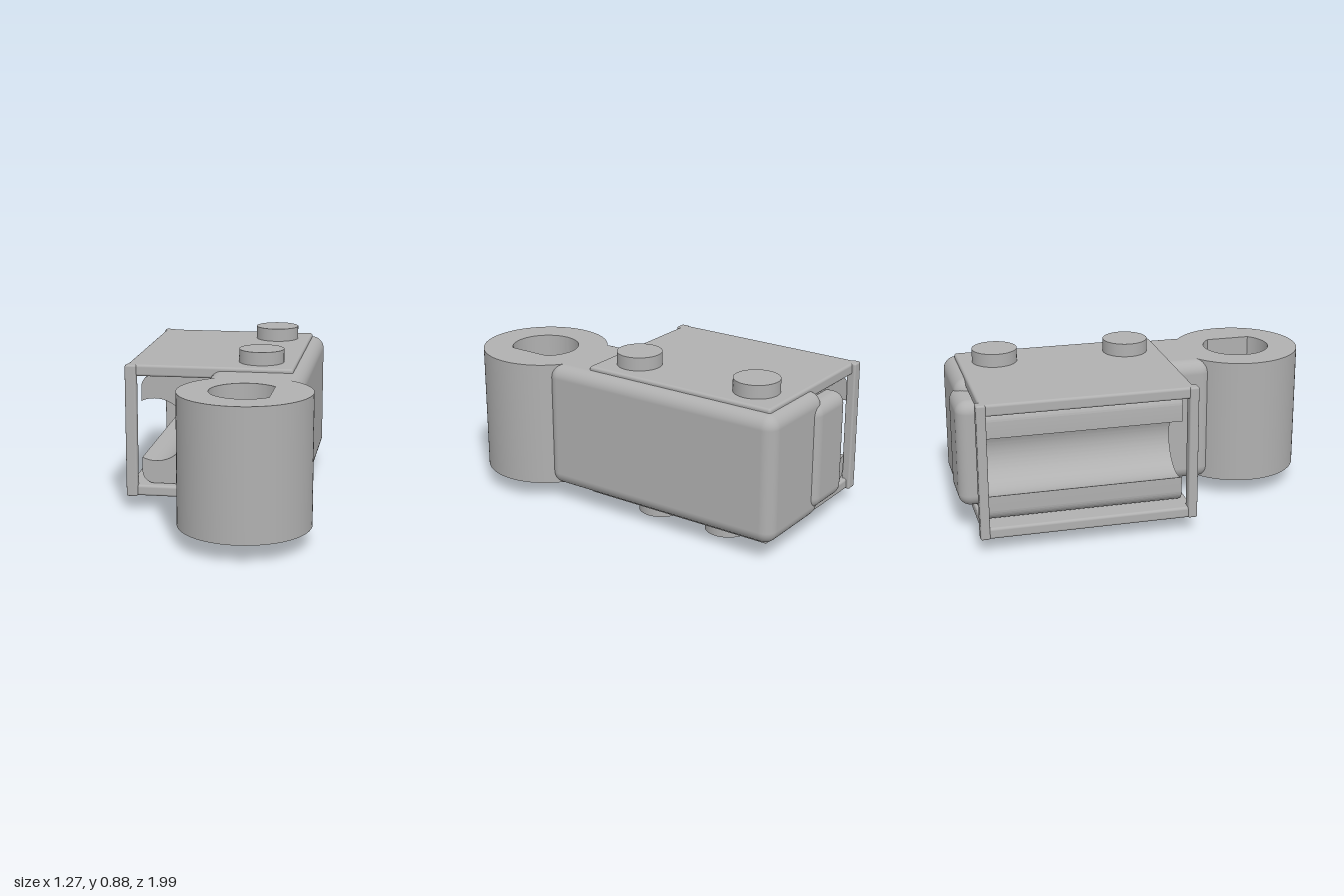
import * as THREE from 'three';
import { toCreasedNormals } from 'three/addons/utils/BufferGeometryUtils.js';
import { RoundedBoxGeometry } from 'three/addons/geometries/RoundedBoxGeometry.js';

export function createModel() {
  const model = new THREE.Group();
  model.name = 'pivotBracket';
  const grey = new THREE.MeshStandardMaterial({ color: 0xb0b0b0 });
  grey.name = 'plain grey';

  // The whole assembly is turned slightly about the vertical axis
  const body = new THREE.Group();
  body.name = 'assembly';
  body.rotation.y = THREE.MathUtils.degToRad(8);
  model.add(body);

  const add = (name, geometry, x = 0, y = 0, z = 0) => {
    const mesh = new THREE.Mesh(geometry, grey);
    mesh.name = name;
    mesh.position.set(x, y, z);
    body.add(mesh);
    return mesh;
  };

  // Rounded box given by its minimum and maximum corners
  const roundedBox = (name, a, b, radius) => add(name,
    new RoundedBoxGeometry(b[0] - a[0], b[1] - a[1], b[2] - a[2], 5, radius),
    (a[0] + b[0]) / 2, (a[1] + b[1]) / 2, (a[2] + b[2]) / 2);

  const extrude = (shape, depth) => toCreasedNormals(
    new THREE.ExtrudeGeometry(shape, { depth, bevelEnabled: false, curveSegments: 48 }), 0.5);

  // Main arm and the small rounded block behind it
  roundedBox('mainArm', [-0.06, 0.097, -0.955], [0.455, 0.787, 0.47], 0.07);
  roundedBox('rearBlock', [-0.26, 0.15, -0.98], [0.06, 0.735, -0.83], 0.065);

  // Pivot ring with a D-shaped bore
  const ring = new THREE.Shape();
  ring.absarc(0, 0, 0.345, 0, Math.PI * 2);
  const bore = new THREE.Path();
  const flat = Math.acos(0.137 / 0.183);
  bore.absarc(0, 0, 0.183, flat, Math.PI * 2 - flat);
  bore.closePath();
  ring.holes.push(bore);
  add('pivotRing', extrude(ring, 0.69).rotateX(-Math.PI / 2), 0.197, 0.097, 0.684);

  // Side clip with an open round channel
  const left = -0.44, right = -0.03, low = 0.14, high = 0.745, r = 0.065;
  const cx = -0.365, cy = 0.442, channel = 0.175;
  const mouth = Math.acos((left - cx) / channel);
  const clip = new THREE.Shape();
  clip.absarc(cx, cy, channel, -mouth, mouth, false);
  clip.absarc(left + r, high - r, r, Math.PI, Math.PI / 2, true);
  clip.absarc(right - r, high - r, r, Math.PI / 2, 0, true);
  clip.absarc(right - r, low + r, r, 0, -Math.PI / 2, true);
  clip.absarc(left + r, low + r, r, -Math.PI / 2, -Math.PI, true);
  clip.closePath();
  add('channelClip', extrude(clip, 1.06), 0, 0, -0.88);

  // Upper and lower plates
  for (const [name, y0, y1] of [['topPlate', 0.745, 0.808], ['bottomPlate', 0.077, 0.137]]) {
    roundedBox(name, [-0.512, y0, -0.895], [0.387, y1, 0.226], 0.014);
  }

  // Posts joining the plates on the open side
  for (const [name, z] of [['rearPost', -0.914], ['frontPost', 0.196]]) {
    roundedBox(name, [-0.518, 0.077, z], [-0.457, 0.808, z + 0.05], 0.01);
  }

  // Round pegs above and below
  const peg = (name, y0, y1, z) => add(name,
    new THREE.CylinderGeometry(0.122, 0.122, y1 - y0, 64), 0.196, (y0 + y1) / 2, z);
  for (const z of [-0.7, 0.032]) peg('topPeg', 0.79, 0.88, z);
  for (const z of [-0.542, -0.109]) peg('bottomPeg', 0, 0.09, z);

  return model;
}
